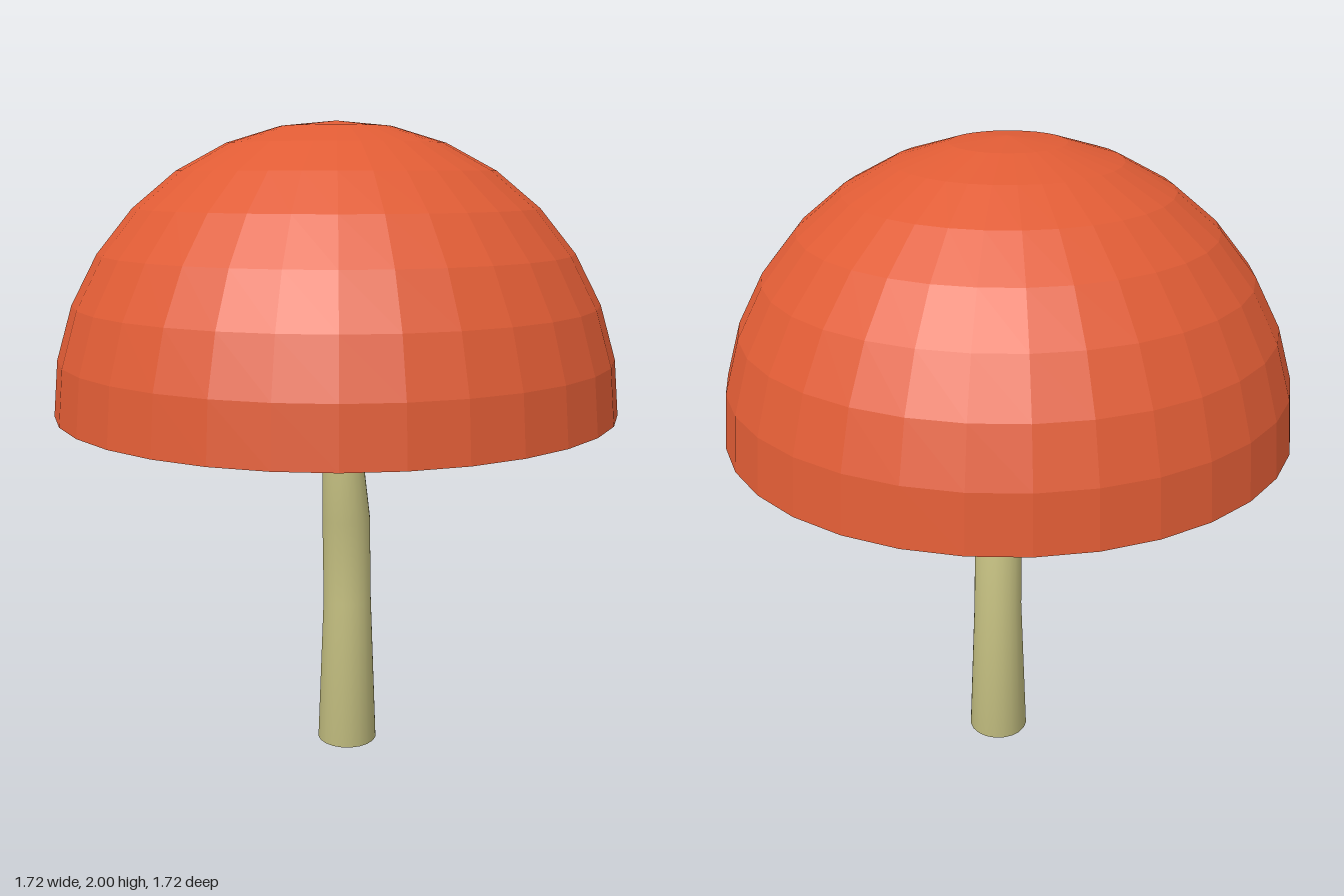
import * as THREE from 'three';

// Stem rings from the ground up: [x, y, z, radius]
const STEM = [
  [0.03, 0, -0.04, 0.097],
  [0.03, 0.49, -0.039, 0.078],
  [0.03, 0.77, -0.017, 0.077],
  [0.028, 0.95, 0.025, 0.066],
  [0.014, 1.14, 0.012, 0.056],
  [0, 1.35, -0.003, 0.043],
];

// Smooth closed tube with level rings
function stemGeometry(rings, sides) {
  const pos = [];
  const index = [];
  for (const [x, y, z, r] of rings) {
    for (let i = 0; i < sides; i++) {
      const a = (i / sides) * Math.PI * 2;
      pos.push(x + r * Math.cos(a), y, z + r * Math.sin(a));
    }
  }
  const bottom = pos.length / 3;
  const top = bottom + 1;
  const last = rings.length - 1;
  pos.push(...rings[0].slice(0, 3), ...rings[last].slice(0, 3));
  for (let i = 0; i < sides; i++) {
    const n = (i + 1) % sides;
    for (let j = 0; j < last; j++) {
      const a = j * sides + i, b = j * sides + n;
      index.push(a, a + sides, b, b, a + sides, b + sides);
    }
    index.push(bottom, i, n);
    index.push(top, last * sides + n, last * sides + i);
  }
  const g = new THREE.BufferGeometry();
  g.setAttribute('position', new THREE.Float32BufferAttribute(pos, 3));
  g.setIndex(index);
  g.computeVertexNormals();
  return g;
}

export function createModel() {
  const model = new THREE.Group();
  model.name = 'mushroom';

  // Faceted cap: recessed underside, then a hemisphere
  const R = 0.86, rimY = 1.14, rings = 8;
  const profile = [new THREE.Vector2(0, 1.34), new THREE.Vector2(0.445, 1.34)];
  for (let i = 0; i <= rings; i++) {
    const a = (i / rings) * Math.PI / 2;
    profile.push(new THREE.Vector2(i === rings ? 0 : R * Math.cos(a), rimY + R * Math.sin(a)));
  }
  const cap = new THREE.Mesh(
    new THREE.LatheGeometry(profile, 32),
    new THREE.MeshStandardMaterial({ color: 0xe05c35, flatShading: true })
  );
  cap.name = 'cap';
  model.add(cap);

  // Bent, tapering stem
  const stem = new THREE.Mesh(
    stemGeometry(STEM, 20),
    new THREE.MeshStandardMaterial({ color: 0xc6c182 })
  );
  stem.name = 'stem';
  model.add(stem);

  return model;
}
